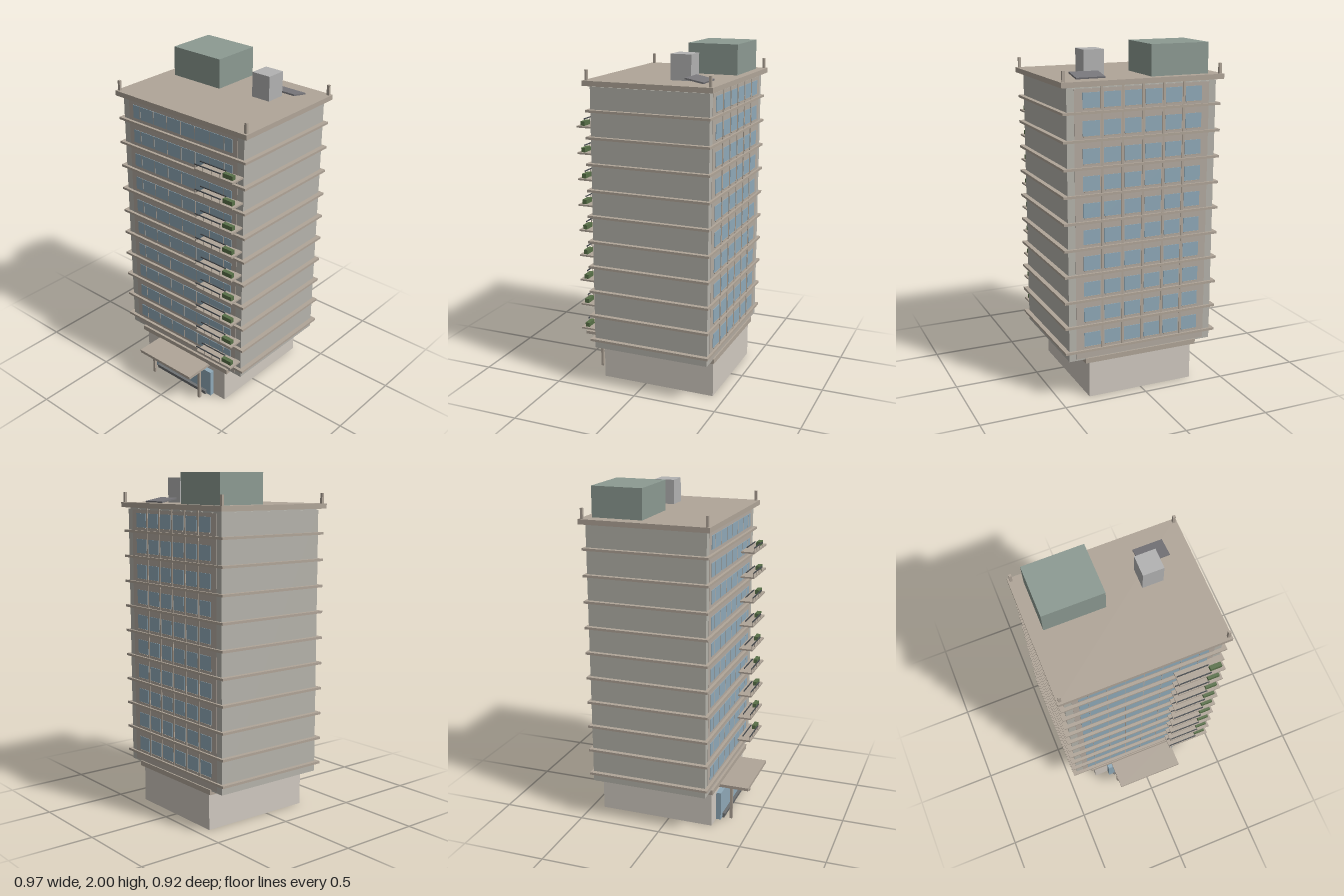
import * as THREE from 'three';

const mat = (color) => new THREE.MeshStandardMaterial({ color });

export function createModel() {
  const model = new THREE.Group();
  const M = {
    wall: mat(0xb5b3ab), facade: mat(0xb3aaa0), trim: mat(0xb0a598), base: mat(0xd0c9c0),
    glass: mat(0x8fa9b8), plant: mat(0x8c9a92), leaf: mat(0x587048), rail: mat(0x44484c),
    unit: mat(0xb2b2b2), panel: mat(0x77767a), mat: mat(0x6d7072),
  };

  // Box given by its min/max extent on every axis
  const box = (parent, name, m, x0, x1, y0, y1, z0, z1) => {
    const mesh = new THREE.Mesh(new THREE.BoxGeometry(x1 - x0, y1 - y0, z1 - z0), m);
    mesh.position.set((x0 + x1) / 2, (y0 + y1) / 2, (z0 + z1) / 2);
    mesh.name = name;
    parent.add(mesh);
    return mesh;
  };
  const group = (name, y = 0) => {
    const g = new THREE.Group();
    g.name = name;
    g.position.y = y;
    model.add(g);
    return g;
  };

  const FRONT = 0.272, BACK = -0.432;

  // Podium and tower
  box(model, 'podium', M.base, -0.325, 0.325, 0, 0.217, -0.427, FRONT);
  box(model, 'podiumBand', M.trim, -0.352, 0.352, 0.217, 0.247, -0.44, 0.287);
  box(model, 'tower', M.wall, -0.448, 0.448, 0.24, 1.79, BACK, FRONT);
  box(model, 'frontFacade', M.facade, -0.405, 0.405, 0.25, 1.785, FRONT, FRONT + 0.002);
  box(model, 'backFacade', M.facade, -0.405, 0.405, 0.25, 1.785, BACK - 0.002, BACK);

  // Repeating storeys
  const FLOORS = 10, STEP = 0.1513;
  for (let i = 0; i < FLOORS; i++) {
    const floor = group('storey', 0.295 + i * STEP);
    box(floor, 'floorSlab', M.trim, -0.475, 0.475, -0.007, 0.007, -0.446, 0.291);

    // Front window strip with slim mullions
    box(floor, 'frontWindow', M.glass, -0.37, 0.37, 0.027, 0.105, FRONT, FRONT + 0.005);
    for (let k = -3; k <= 3; k++) {
      const x = k * 0.105;
      box(floor, 'frontMullion', M.facade, x - 0.002, x + 0.002, 0.027, 0.105, FRONT, FRONT + 0.007);
    }

    // Back windows between piers
    const pitch = 0.74 / 6;
    for (let k = 0; k < 6; k++) {
      const x = -0.37 + (k + 0.5) * pitch;
      box(floor, 'backWindow', M.glass, x - 0.05, x + 0.05, 0.025, 0.108, BACK - 0.005, BACK);
      box(floor, 'backSill', M.trim, x - 0.045, x + 0.045, 0.019, 0.025, BACK - 0.008, BACK);
    }
    for (let k = 1; k < 6; k++) {
      const x = -0.37 + k * pitch;
      box(floor, 'backPier', M.trim, x - 0.006, x + 0.006, 0.007, 0.144, BACK - 0.006, BACK);
    }

    // Balcony with railing and planter, on all but the top storey
    if (i === FLOORS - 1) continue;
    box(floor, 'balconySlab', M.trim, 0.175, 0.445, 0.05, 0.06, FRONT, 0.362);
    for (const z of [0.359, 0.313]) {
      box(floor, 'balconyRail', M.rail, 0.175, 0.362, 0.083, 0.088, z - 0.003, z + 0.003);
    }
    for (let k = 0; k < 4; k++) {
      const x = 0.178 + k * 0.06;
      box(floor, 'railPost', M.trim, x - 0.002, x + 0.002, 0.06, 0.083, 0.356, 0.36);
    }
    box(floor, 'planter', M.leaf, 0.362, 0.43, 0.06, 0.085, 0.319, 0.344);
  }

  // Roof slab and corner posts
  box(model, 'roofSlab', M.trim, -0.485, 0.485, 1.797, 1.826, -0.46, 0.302);
  for (const x of [-0.467, 0.467]) {
    for (const z of [-0.442, 0.282]) {
      box(model, 'roofPost', M.trim, x - 0.008, x + 0.008, 1.826, 1.885, z - 0.007, z + 0.007);
    }
  }
  box(model, 'roofCore', M.wall, -0.44, 0.44, 1.788, 1.8, -0.425, 0.265);

  // Rooftop equipment
  box(model, 'plantRoom', M.plant, -0.408, -0.057, 1.826, 2, -0.41, -0.11);
  box(model, 'ventUnit', M.unit, 0.16, 0.28, 1.826, 1.97, -0.26, -0.14);
  const panel = box(model, 'solarPanel', M.panel, 0.195, 0.365, 1.836, 1.845, -0.365, -0.255);
  panel.rotation.x = -0.19;

  // Entrance: glass lobby, mat, canopy and columns
  box(model, 'lobbyGlass', M.glass, -0.236, 0.236, 0, 0.175, FRONT, 0.302);
  const ramp = new THREE.Shape([[0.302, 0], [0.314, 0], [0.321, 0.028], [0.302, 0.028]]
    .map(([z, y]) => new THREE.Vector2(-z, y)).reverse());
  const step = new THREE.Mesh(
    new THREE.ExtrudeGeometry(ramp, { depth: 0.41, bevelEnabled: false }), M.mat);
  step.name = 'entranceStep';
  step.rotation.y = Math.PI / 2;
  step.position.x = -0.205;
  model.add(step);
  box(model, 'canopy', M.trim, -0.208, 0.208, 0.203, 0.221, 0.27, 0.46);
  for (const x of [-0.192, 0.192]) {
    box(model, 'canopyColumn', M.trim, x - 0.008, x + 0.008, 0, 0.203, 0.347, 0.363);
  }
  return model;
}
